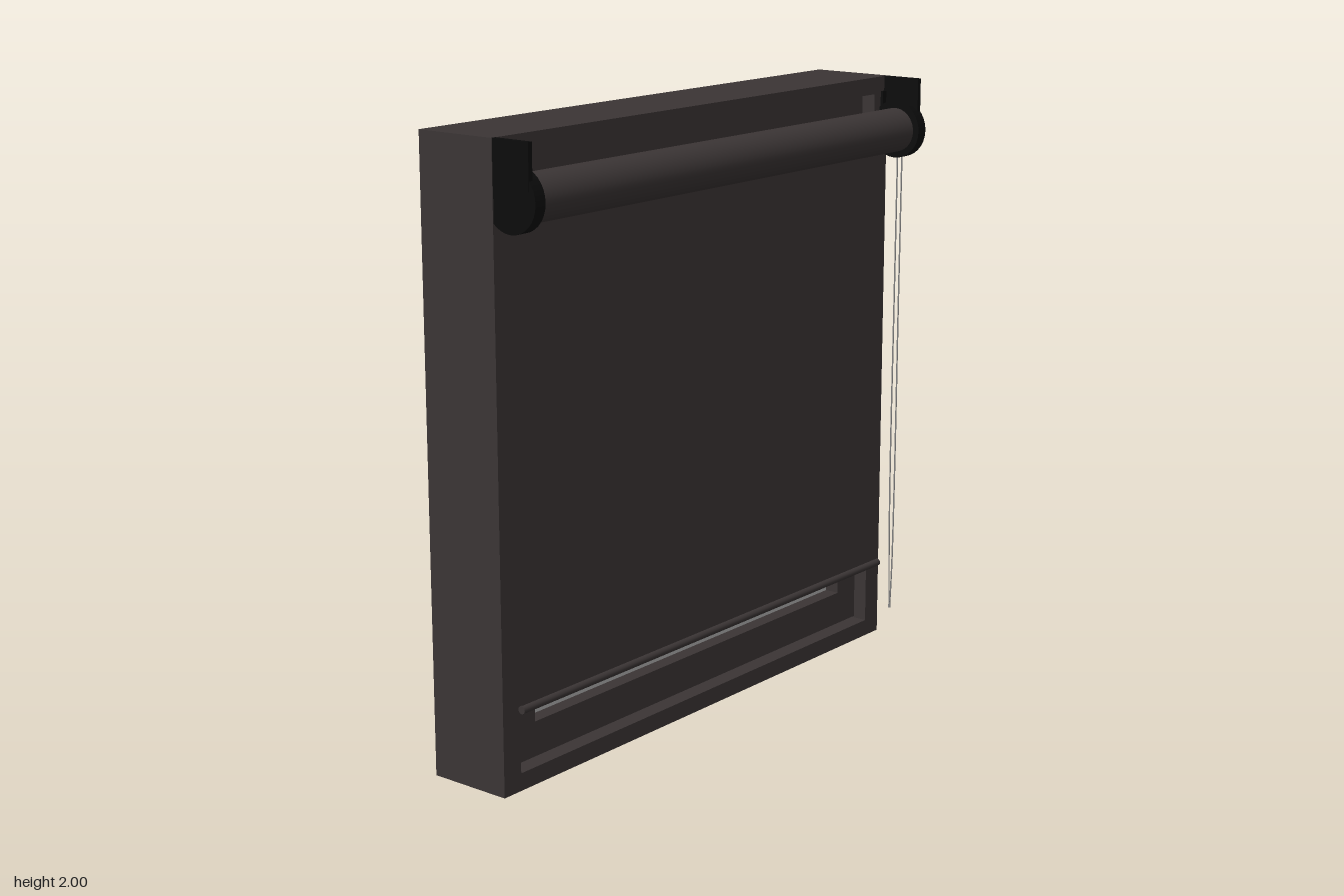
import * as THREE from 'three';

export function createModel() {
  const model = new THREE.Group();
  const mat = (name, color, side = THREE.FrontSide) => {
    const m = new THREE.MeshStandardMaterial({ color, side });
    m.name = name;
    return m;
  };
  const brown = mat('dark brown', 0x3b3535);
  const fabric = mat('blind fabric', 0x3b3535, THREE.DoubleSide);
  const black = mat('black plastic', 0x0b0b0b);
  const pane = mat('grey glass', 0xb0b0b0);
  const metal = mat('chain grey', 0x8a8a8a);

  const add = (name, geometry, material, x = 0, y = 0, z = 0) => {
    const mesh = new THREE.Mesh(geometry, material);
    mesh.name = name;
    mesh.position.set(x, y, z);
    model.add(mesh);
    return mesh;
  };

  // Rectangular ring between z0 and z1, given half widths and bottom/top margins
  const ring = (name, outerX, outerM, innerX, innerM, z0, z1) => {
    const rect = (P, hx, m) => {
      const p = new P();
      p.moveTo(-hx, m);
      p.lineTo(hx, m);
      p.lineTo(hx, 2 - m);
      p.lineTo(-hx, 2 - m);
      p.closePath();
      return p;
    };
    const shape = rect(THREE.Shape, outerX, outerM);
    shape.holes.push(rect(THREE.Path, innerX, innerM));
    const geo = new THREE.ExtrudeGeometry(shape, { depth: z1 - z0, bevelEnabled: false });
    add(name, geo, brown, 0, 0, z0);
  };

  // Window frame, stepped stop and sash
  ring('outerFrame', 0.982, 0, 0.907, 0.057, -0.225, 0.063);
  ring('frameStop', 0.907, 0.057, 0.877, 0.09, -0.17, -0.09);
  ring('sash', 0.898, 0.066, 0.795, 0.18, -0.09, 0.02);
  ring('sashSeal', 0.907, 0.057, 0.85, 0.1, -0.09, 0.005);
  add('glass', new THREE.BoxGeometry(1.6, 1.65, 0.008), pane, 0, 1, -0.034);

  // Roller blind
  const rod = (name, radius, length, y, z, sides) => {
    const geo = new THREE.CylinderGeometry(radius, radius, length, sides);
    geo.rotateZ(Math.PI / 2);
    add(name, geo, brown, 0, y, z);
  };
  rod('rollerTube', 0.074, 1.87, 1.825, 0.13, 40);
  rod('bottomRail', 0.013, 1.865, 0.276, 0.093, 16);
  add('blindFabric', new THREE.PlaneGeometry(1.865, 1.53), fabric, 0, 1.04, 0.093);

  // End brackets: round cap, upright plate and wall tab
  for (const s of [-1, 1]) {
    const cap = new THREE.CylinderGeometry(0.097, 0.097, 0.042, 32);
    cap.rotateZ(Math.PI / 2);
    add('bracketCap', cap, black, s * 0.958, 1.826, 0.128);
    add('bracketPlate', new THREE.BoxGeometry(0.016, 0.174, 0.14), black, s * 0.972, 1.913, 0.131);
    add('bracketTab', new THREE.BoxGeometry(0.03, 0.12, 0.01), black, s * 0.959, 1.89, 0.067);
  }

  // Pull chain loop
  const chain = new THREE.CatmullRomCurve3([
    [1.74, 0.146], [1.2, 0.144], [0.6, 0.143], [0.25, 0.139], [0.115, 0.13],
    [0.25, 0.122], [0.6, 0.118], [1.2, 0.12], [1.74, 0.122],
  ].map(([y, z], i) => new THREE.Vector3(i < 4 ? 0.957 : i > 4 ? 0.966 : 0.961, y, z)));
  add('pullChain', new THREE.TubeGeometry(chain, 120, 0.0025, 6), metal);
  add('chainWeight', new THREE.CylinderGeometry(0.003, 0.005, 0.022, 10), metal, 0.961, 0.117, 0.13);

  return model;
}
